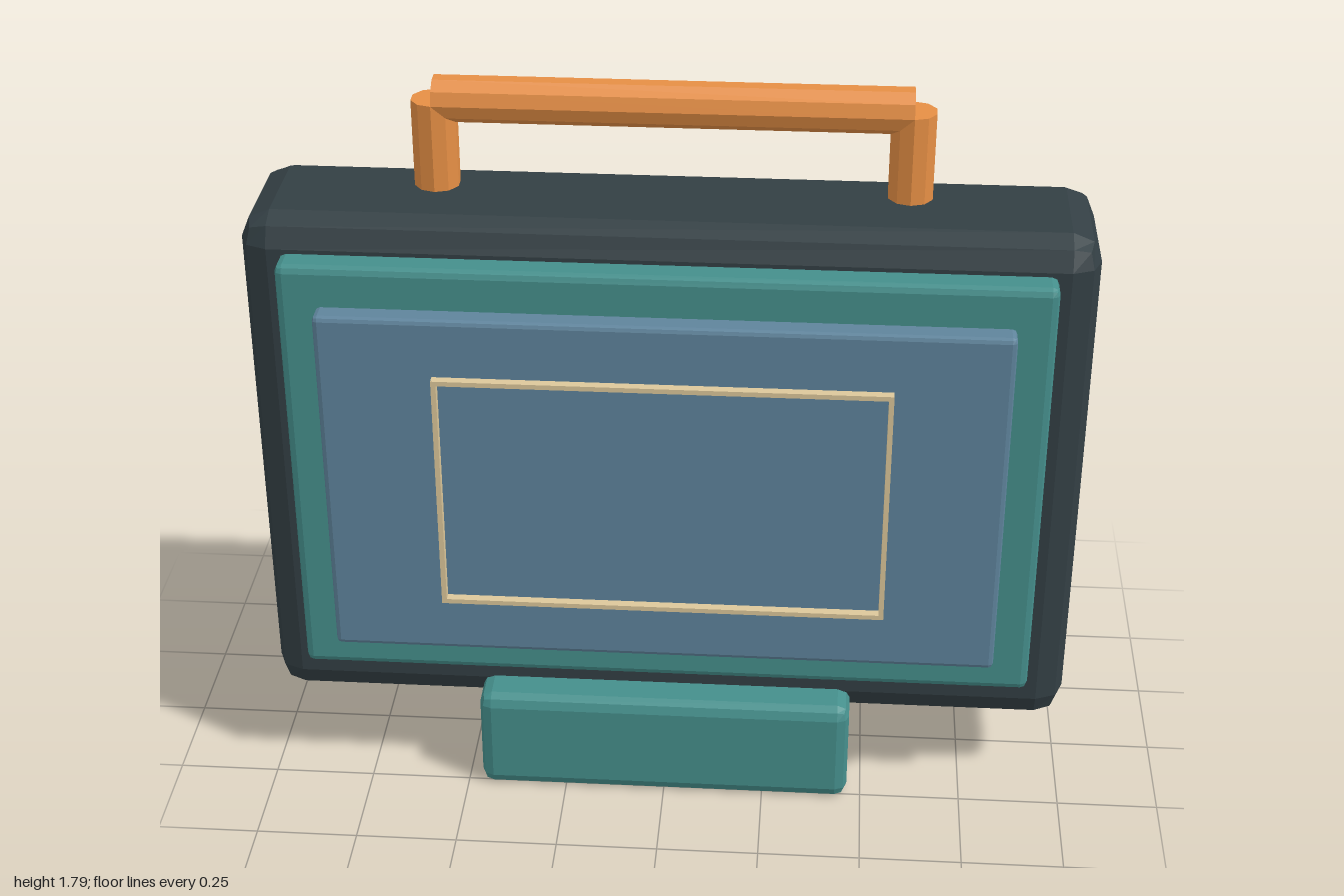
import * as THREE from 'three';
import { RoundedBoxGeometry } from 'three/addons/geometries/RoundedBoxGeometry.js';

const paint = (color) => new THREE.MeshStandardMaterial({ color, flatShading: true });

export function createModel() {
  const group = new THREE.Group();
  const dark = paint(0x333f44), teal = paint(0x458f8c), blue = paint(0x5f849c);
  const orange = paint(0xe68f45), cream = paint(0xdcc79a);

  function add(name, geometry, material, x, y, z) {
    const mesh = new THREE.Mesh(geometry, material);
    mesh.name = name;
    mesh.position.set(x, y, z);
    group.add(mesh);
    return mesh;
  }

  // Box with bevelled edges, given by half width, y range and z range
  function slab(name, material, halfW, y0, y1, z0, z1, bevel) {
    const geometry = new RoundedBoxGeometry(2 * halfW, y1 - y0, z1 - z0, 1, bevel);
    add(name, geometry, material, 0, (y0 + y1) / 2, (z0 + z1) / 2);
  }

  slab('body', dark, 1, 0.2, 1.53, -0.215, 0.172, 0.07);
  slab('base', teal, 0.465, 0.005, 0.275, -0.315, 0.272, 0.03);
  slab('screenFrame', teal, 0.9, 0.345, 1.45, 0.14, 0.242, 0.018);
  slab('screen', blue, 0.808, 0.442, 1.35, 0.2, 0.296, 0.012);

  // Thin raised outline on the screen
  const t = 0.012, w = 0.535, low = 0.59, high = 1.205, depth = 0.024, zLine = 0.306;
  for (const y of [low + t / 2, high - t / 2]) {
    add('outlineRail', new THREE.BoxGeometry(2 * w, t, depth), cream, 0, y, zLine);
  }
  for (const side of [-1, 1]) {
    const stile = new THREE.BoxGeometry(t, high - low - 2 * t, depth);
    add('outlineStile', stile, cream, side * (w - t / 2), (low + high) / 2, zLine);
  }

  // Carrying handle: two posts and a crossbar
  const r = 0.055, span = 0.56, zHandle = -0.073, top = 1.746;
  for (const side of [-1, 1]) {
    add('handlePost', new THREE.CylinderGeometry(r, r, 0.27, 10), orange, side * span, top - 0.135, zHandle);
  }
  const bar = add('handleBar', new THREE.CylinderGeometry(r, r, 2 * span, 10), orange, 0, top, zHandle);
  bar.rotation.z = Math.PI / 2;

  return group;
}
